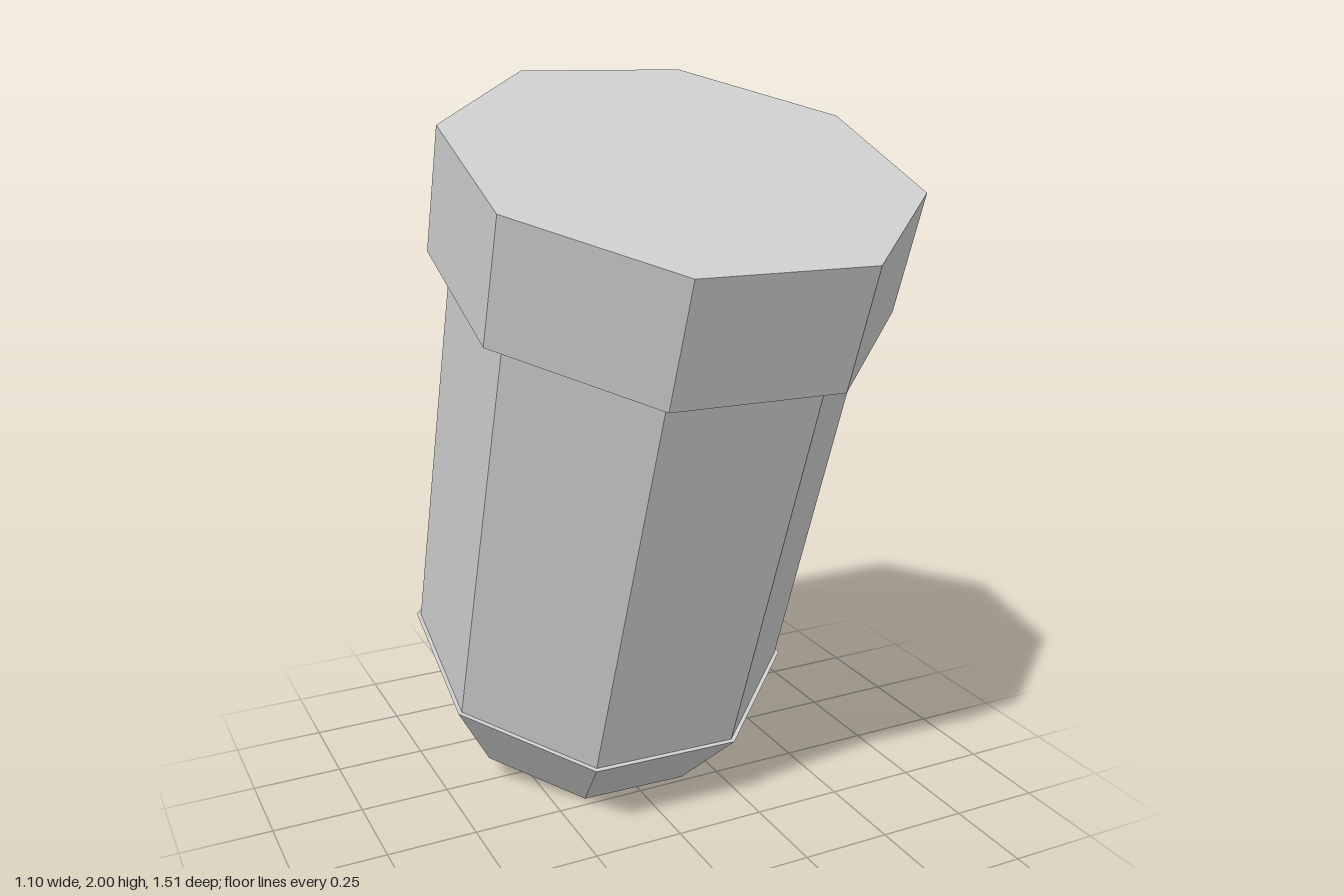
import * as THREE from 'three';

export function createModel() {
  const model = new THREE.Group();
  model.name = 'tiltedBolt';
  const grey = new THREE.MeshStandardMaterial({ color: 0xcccccc });
  grey.name = 'light grey';
  grey.flatShading = true;

  // Octagonal section between two heights along the bolt's own axis
  const twist = THREE.MathUtils.degToRad(20.9);
  const section = (name, y0, y1, r0, r1) => {
    const geometry = new THREE.CylinderGeometry(r1, r0, y1 - y0, 8, 1, false, twist);
    const mesh = new THREE.Mesh(geometry, grey);
    mesh.name = name;
    mesh.position.y = (y0 + y1) / 2;
    return mesh;
  };

  const bolt = new THREE.Group();
  bolt.name = 'bolt';
  bolt.add(
    section('taperedTip', 0, 0.272, 0.4, 0.542),
    section('shaft', 0.26, 1.48, 0.53, 0.53),
    section('head', 1.464, 1.794, 0.587, 0.587)
  );

  // Lean the whole bolt forward
  bolt.rotation.x = THREE.MathUtils.degToRad(20);
  bolt.position.set(0, 0.129, -0.369);
  model.add(bolt);
  return model;
}
